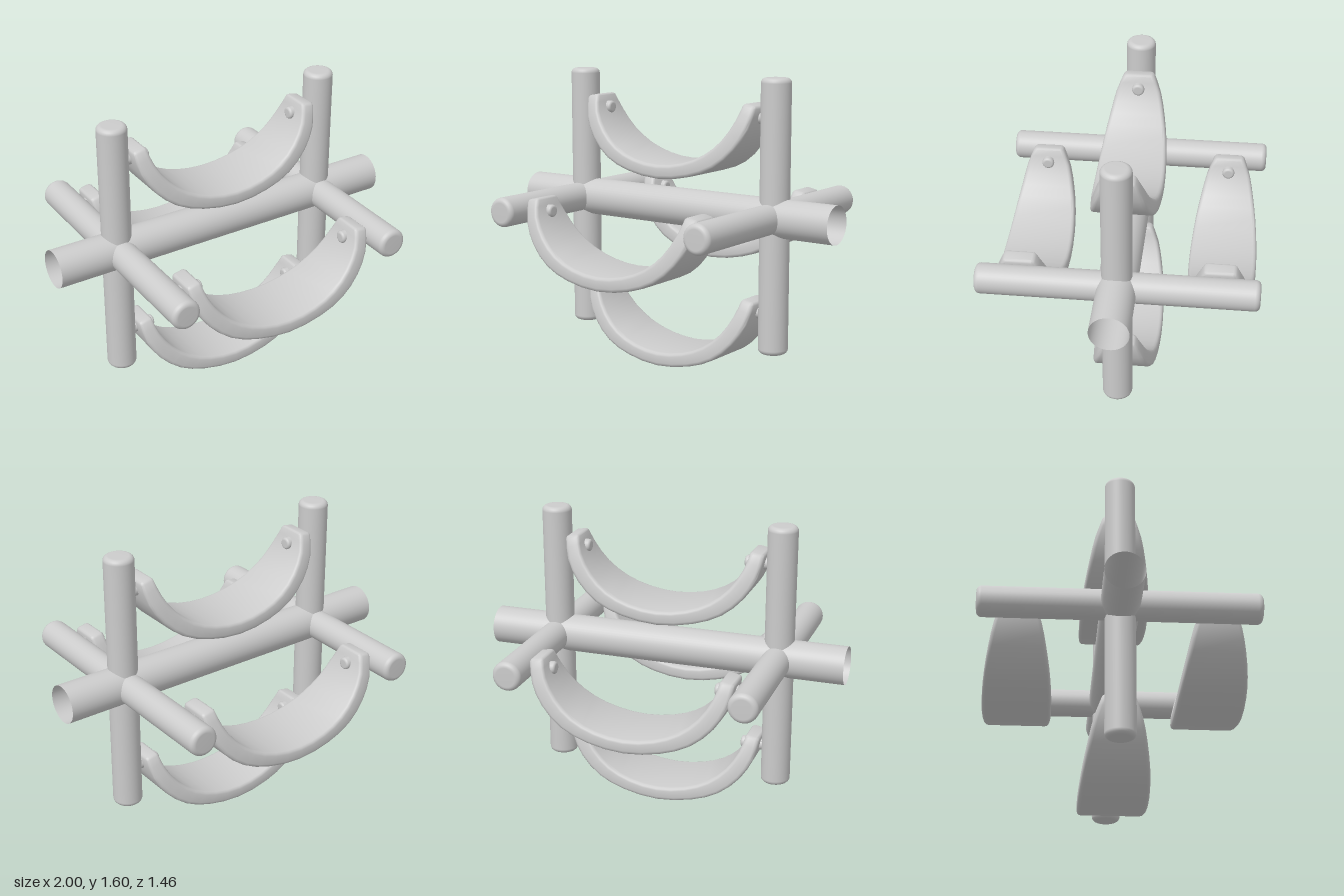
import * as THREE from 'three';
import { toCreasedNormals } from 'three/addons/utils/BufferGeometryUtils.js';

const AXLE_Y = 0.875, AXLE_R = 0.103, SPOKE_X = 0.632, ORBIT = 0.52;
const material = new THREE.MeshStandardMaterial({ color: 0xcccccc });
const openMaterial = new THREE.MeshStandardMaterial({ color: 0xcccccc, side: THREE.DoubleSide });

function part(name, geometry, mat = material) {
  const mesh = new THREE.Mesh(geometry, mat);
  mesh.name = name;
  return mesh;
}

// Quarter-round rim profile that closes at the top of a rod
function roundedTop(r, top, fillet) {
  const pts = [];
  for (let i = 0; i <= 5; i++) {
    const a = (i / 5) * Math.PI / 2;
    pts.push(new THREE.Vector2(r - fillet + fillet * Math.cos(a), top - fillet + fillet * Math.sin(a)));
  }
  pts.push(new THREE.Vector2(0, top));
  return pts;
}

// Spoke whose inner end is shaped to sit on the round axle
function spokeGeometry() {
  const r = 0.08;
  const geo = new THREE.LatheGeometry([new THREE.Vector2(r, 0), ...roundedTop(r, 0.731, 0.027)], 40);
  const pos = geo.attributes.position;
  for (let i = 0; i < pos.count; i++) {
    if (pos.getY(i) < 0.01) pos.setY(i, Math.sqrt(AXLE_R ** 2 - pos.getZ(i) ** 2));
  }
  return geo;
}

// Peg along x with rounded ends
function pegGeometry() {
  const half = roundedTop(0.034, 0.067, 0.014);
  const lower = half.map(p => new THREE.Vector2(p.x, -p.y)).reverse();
  return new THREE.LatheGeometry([...lower, ...half], 20).rotateZ(Math.PI / 2);
}

// Curved sling: rounded rectangular sections swept along paired outer and inner curves.
// Each point is x, height, half width.
function slingGeometry() {
  const mirrored = half => new THREE.CatmullRomCurve3([
    ...half.map(([x, y, w]) => new THREE.Vector3(-x, y, w)),
    ...half.slice(0, -1).reverse().map(([x, y, w]) => new THREE.Vector3(x, y, w)),
  ]);
  const outer = mirrored([[0.556, 0.417, 0.082], [0.53, 0.3, 0.122], [0.465, 0.19, 0.149],
    [0.353, 0.092, 0.17], [0.203, 0.033, 0.182], [0, 0.005, 0.187]]);
  const inner = mirrored([[0.48, 0.432, 0.082], [0.452, 0.34, 0.122], [0.385, 0.237, 0.149],
    [0.285, 0.155, 0.17], [0.155, 0.103, 0.182], [0, 0.083, 0.187]]);

  // Stations [t, inset]; the ends shrink slightly for a rounded rim
  const stations = [[0, 0.014], [0.004, 0.005], [0.012, 0]];
  for (let i = 1; i < 20; i++) stations.push([i / 20, 0]);
  stations.push([0.988, 0], [0.996, 0.005], [1, 0.014]);

  const positions = [], index = [], fillet = 0.02, count = 16;
  const corners = [[1, 1], [-1, 1], [-1, -1], [1, -1]];
  for (const [t, inset] of stations) {
    const o = outer.getPoint(t), n = inner.getPoint(t);
    const cx = (o.x + n.x) / 2, cy = (o.y + n.y) / 2;
    const dx = o.x - n.x, dy = o.y - n.y, len = Math.hypot(dx, dy);
    const hu = len / 2 - fillet, hz = o.z - fillet, r = fillet - inset;
    corners.forEach(([su, sz], c) => {
      for (let k = 0; k < 4; k++) {
        const a = (c + k / 3) * Math.PI / 2;
        const u = su * hu + r * Math.cos(a), z = sz * hz + r * Math.sin(a);
        positions.push(cx + u * dx / len, cy + u * dy / len, z);
      }
    });
  }
  const last = (stations.length - 1) * count;
  for (let s = 0; s < last; s += count) {
    for (let j = 0; j < count; j++) {
      const a = s + j, b = s + (j + 1) % count;
      index.push(a, a + count, b, b, a + count, b + count);
    }
  }
  // Flat end caps
  for (let j = 1; j < count - 1; j++) {
    index.push(0, j, j + 1, last, last + j + 1, last + j);
  }
  const geo = new THREE.BufferGeometry();
  geo.setAttribute('position', new THREE.Float32BufferAttribute(positions, 3));
  geo.setIndex(index);
  return toCreasedNormals(geo, 0.65);
}

export function createModel() {
  const model = new THREE.Group();
  model.name = 'swingWheel';

  // Hollow, open-ended axle
  const axle = part('axle', new THREE.CylinderGeometry(AXLE_R, AXLE_R, 2, 48, 1, true), openMaterial);
  axle.rotation.z = Math.PI / 2;
  axle.position.y = AXLE_Y;
  model.add(axle);

  // A cross of four spokes on each side
  const spoke = spokeGeometry();
  for (const side of [-1, 1]) {
    const cross = new THREE.Group();
    cross.name = side > 0 ? 'leftSpokes' : 'rightSpokes';
    cross.position.set(side * SPOKE_X, AXLE_Y, 0);
    for (let i = 0; i < 4; i++) {
      const arm = part('spoke', spoke);
      arm.rotation.x = i * Math.PI / 2;
      cross.add(arm);
    }
    model.add(cross);
  }

  // Four hanging slings, each held by two pegs
  const sling = slingGeometry(), peg = pegGeometry();
  for (let i = 0; i < 4; i++) {
    const a = i * Math.PI / 2;
    const seat = new THREE.Group();
    seat.name = 'hangingSeat';
    seat.position.set(0, 0.52 + ORBIT * Math.cos(a), ORBIT * Math.sin(a));
    seat.add(part('sling', sling));
    for (const side of [-1, 1]) {
      const pin = part('peg', peg);
      pin.position.set(side * 0.502, 0.355, 0);
      seat.add(pin);
    }
    model.add(seat);
  }
  return model;
}
